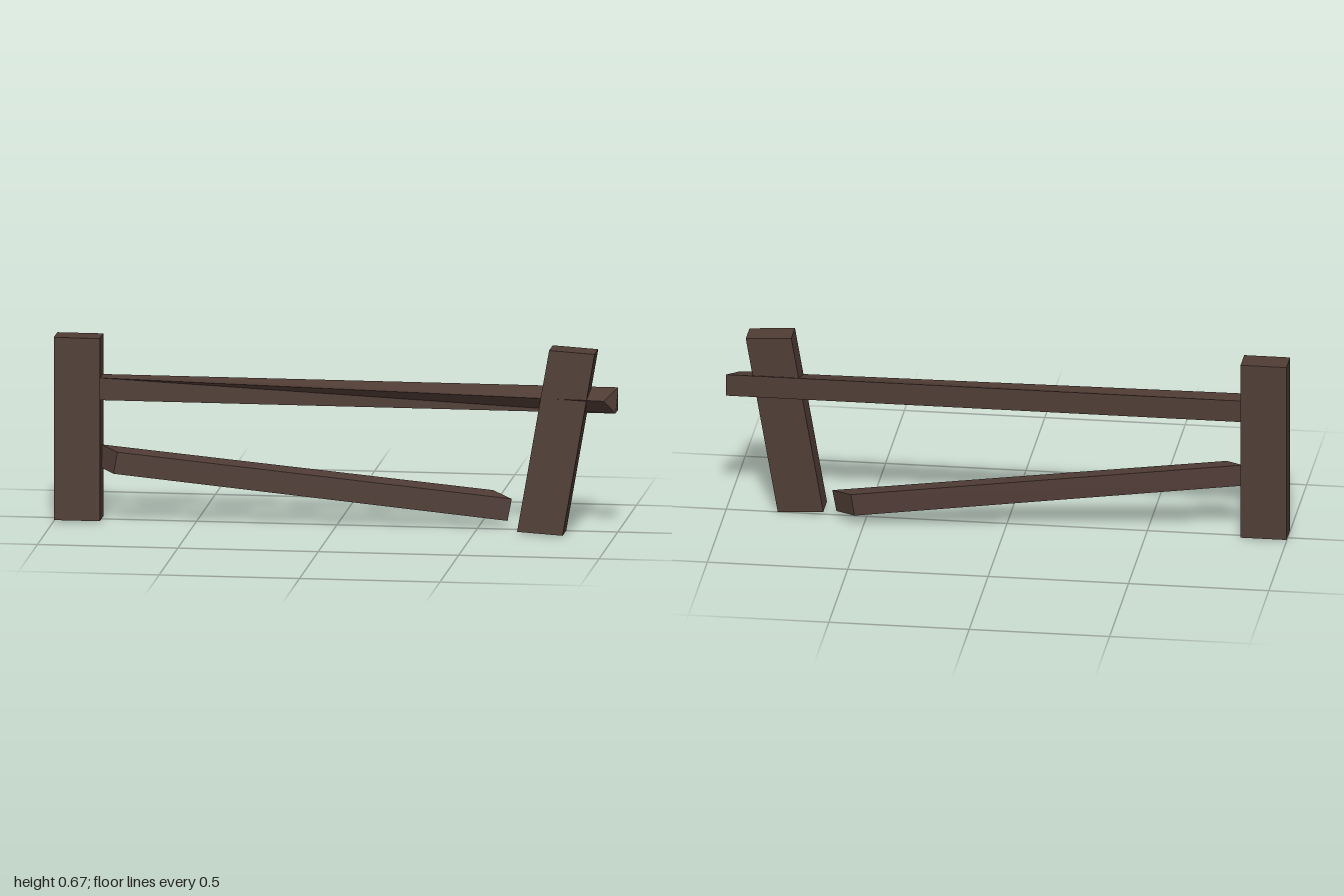
import * as THREE from 'three';

// Six-sided beam from two four-corner ends; corners run counter-clockwise
// seen from outside the second end.
function beam(name, start, end, material) {
  const p = [...start, ...end];
  const quads = [[3, 2, 1, 0], [4, 5, 6, 7]];
  for (let i = 0; i < 4; i++) {
    const j = (i + 1) % 4;
    quads.push([i, j, j + 4, i + 4]);
  }
  const positions = [];
  for (const [a, b, c, d] of quads) {
    for (const i of [a, b, c, a, c, d]) positions.push(...p[i]);
  }
  const geometry = new THREE.BufferGeometry();
  geometry.setAttribute('position', new THREE.Float32BufferAttribute(positions, 3));
  geometry.computeVertexNormals();
  const mesh = new THREE.Mesh(geometry, material);
  mesh.name = name;
  return mesh;
}

// Post defined by its left and right corners at the bottom and the top
function post(name, [b0, b1], [t0, t1], back, front, material) {
  const ring = ([l, r]) => [[...l, front], [...r, front], [...r, back], [...l, back]];
  return beam(name, ring([b0, b1]), ring([t0, t1]), material);
}

export function createModel() {
  const group = new THREE.Group();
  group.name = 'brokenFence';
  const wood = new THREE.MeshStandardMaterial({ color: 0x503c35 });
  wood.name = 'dark brown wood';

  // Upright post and leaning post
  group.add(post('uprightPost',
    [[-1, 0.006], [-0.836, 0.006]], [[-1, 0.663], [-0.836, 0.663]], -0.031, 0.065, wood));
  group.add(post('leaningPost',
    [[0.654, 0.012], [0.816, 0.002]], [[0.768, 0.667], [0.93, 0.657]], -0.003, 0.095, wood));

  // Rail corners run: front bottom, back bottom, back top, front top
  group.add(beam('upperRail',
    [[-0.84, 0.44, 0.057], [-0.84, 0.44, -0.015], [-0.84, 0.52, -0.015], [-0.84, 0.52, 0.057]],
    [[1, 0.44, 0.062], [1, 0.44, -0.012], [1, 0.52, -0.012], [0.963, 0.49, 0.099]], wood));

  // Fallen rail with slanted ends
  group.add(beam('fallenRail',
    [[-0.787, 0.178, 0.066], [-0.852, 0.193, 0.001], [-0.84, 0.27, 0.001], [-0.773, 0.256, 0.066]],
    [[0.604, 0.027, -0.025], [0.53, 0.042, -0.096], [0.543, 0.122, -0.098], [0.619, 0.106, -0.026]], wood));

  return group;
}
